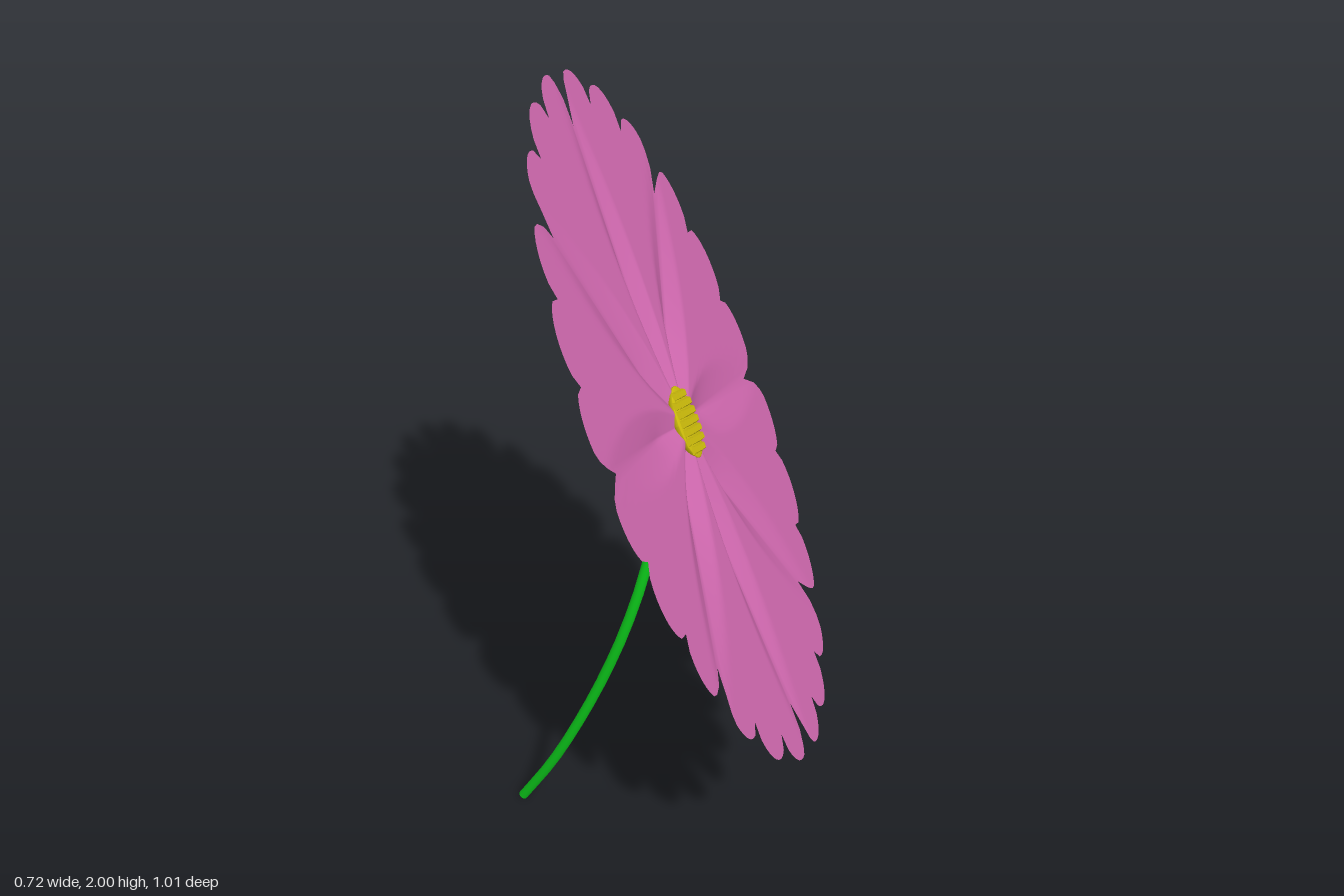
import * as THREE from 'three';

// Flower head frame: a unit disc in local x, y is tilted and stretched to an ellipse; local z is depth
const HEAD = new THREE.Matrix4().makeBasis(
  new THREE.Vector3(0.36, -0.125, -0.18),
  new THREE.Vector3(0, 0.678, -0.468),
  new THREE.Vector3(0.52, 0.485, 0.703)
).setPosition(0, 1.3, 0);

const PETALS = 8, STEPS = 30, RINGS = 18;
const START = THREE.MathUtils.degToRad(2);

// Rim radius across one petal (t from 0 to 1): three round lobes, deep notches between petals
function rimRadius(t) {
  const lobe = Math.sqrt(Math.abs(Math.sin(3 * Math.PI * t)));
  const notch = Math.max(0, 1 - Math.min(t, 1 - t) / 0.08);
  return 0.925 + 0.085 * lobe - 0.07 * notch;
}

// Petals are flat in the middle and fold down outside two veins that spread toward the rim
function petalHeight(t, r) {
  const side = Math.abs(t - 0.5) * 2;
  return -0.04 * Math.max(0, side - r) * Math.min(1, r * 4);
}

function petalGeometry() {
  const pos = [], index = [], around = PETALS * STEPS;
  for (let j = 0; j <= RINGS; j++) {
    for (let i = 0; i < around; i++) {
      const t = (i % STEPS) / STEPS;
      const a = START + (i / around) * Math.PI * 2;
      const r = (j / RINGS) * rimRadius(t);
      pos.push(r * Math.cos(a), r * Math.sin(a), petalHeight(t, r));
      if (j < RINGS) {
        const n = (i + 1) % around, p = j * around, q = p + around;
        if (j > 0) index.push(p + i, q + n, p + n);
        index.push(p + i, q + i, q + n);
      }
    }
  }
  const g = new THREE.BufferGeometry();
  g.setAttribute('position', new THREE.Float32BufferAttribute(pos, 3));
  g.setIndex(index);
  g.applyMatrix4(HEAD);
  g.computeVertexNormals();
  return g;
}

function mesh(name, geometry, material) {
  const m = new THREE.Mesh(geometry, material);
  m.name = name;
  return m;
}

export function createModel() {
  const pink = new THREE.MeshStandardMaterial({ color: 0xc864a8, side: THREE.DoubleSide });
  const yellow = new THREE.MeshStandardMaterial({ color: 0xc8b80a });
  const green = new THREE.MeshStandardMaterial({ color: 0x0cc81a });

  const flower = new THREE.Group();
  flower.name = 'flower';
  flower.add(mesh('petals', petalGeometry(), pink));

  // Centre: shallow in front, a deeper dome behind
  const centre = new THREE.Group();
  centre.name = 'flowerCentre';
  const dome = new THREE.SphereGeometry(1, 32, 20).rotateX(Math.PI / 2);
  const p = dome.attributes.position;
  for (let i = 0; i < p.count; i++) {
    const z = p.getZ(i);
    p.setXYZ(i, p.getX(i) * 0.105, p.getY(i) * 0.105, z * (z > 0 ? 0.008 : 0.03));
  }
  dome.applyMatrix4(HEAD);
  dome.computeVertexNormals();
  centre.add(mesh('centreDome', dome, yellow));

  // Grid of small seeds over the front of the centre
  const step = 0.026;
  for (let i = -4; i <= 4; i++) {
    for (let j = -4; j <= 4; j++) {
      const x = i * step, y = j * step, d = Math.hypot(x, y);
      if (d > 0.097) continue;
      const seed = new THREE.CylinderGeometry(0.011, 0.018, 0.01, 4, 1)
        .rotateY(Math.PI / 4).rotateX(Math.PI / 2)
        .translate(x, y, 0.009 * Math.sqrt(1 - (d / 0.105) ** 2) + 0.002)
        .applyMatrix4(HEAD).toNonIndexed();
      seed.computeVertexNormals();
      centre.add(mesh('seed', seed, yellow));
    }
  }
  flower.add(centre);

  // Bent stem with closed ends
  const points = [
    [-0.312, 0.006, -0.335], [-0.275, 0.19, -0.235], [-0.24, 0.36, -0.16],
    [-0.2, 0.55, -0.09], [-0.163, 0.74, -0.033], [-0.122, 0.93, 0], [-0.05, 1.27, 0.015]
  ].map(a => new THREE.Vector3(...a));
  const curve = new THREE.CatmullRomCurve3(points);
  const radius = 0.013;
  const stem = new THREE.Group();
  stem.name = 'stem';
  stem.add(mesh('stemTube', new THREE.TubeGeometry(curve, 16, radius, 12), green));
  for (const t of [0, 1]) {
    const cap = mesh('stemEnd', new THREE.CircleGeometry(radius, 12), green);
    cap.position.copy(curve.getPoint(t));
    const out = curve.getTangent(t).multiplyScalar(t ? 1 : -1);
    cap.quaternion.setFromUnitVectors(new THREE.Vector3(0, 0, 1), out);
    stem.add(cap);
  }
  flower.add(stem);
  return flower;
}
